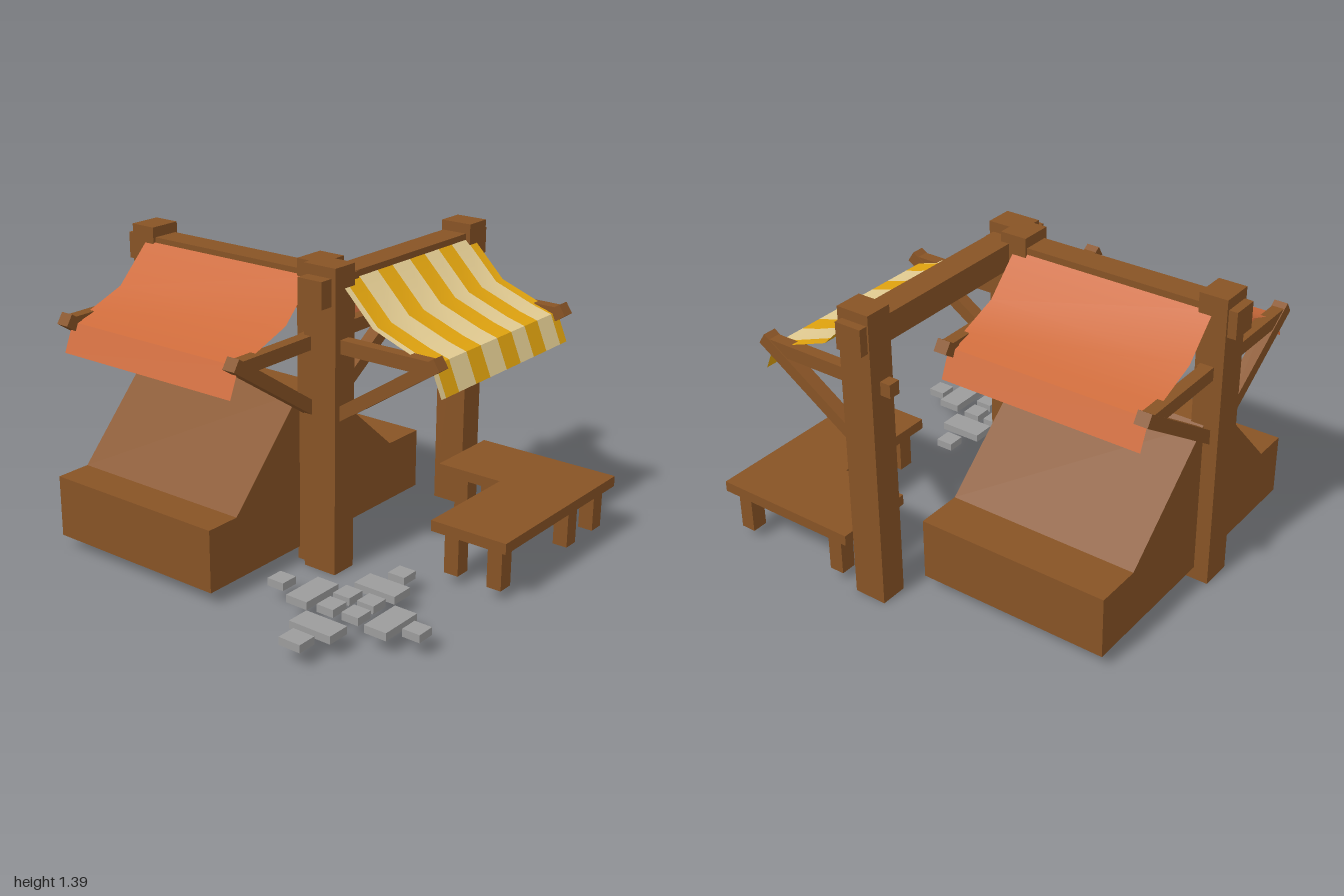
import * as THREE from 'three';

const mat = (name, color) => {
  const m = new THREE.MeshStandardMaterial({ color, side: THREE.DoubleSide });
  m.name = name;
  return m;
};

// Removes the faces lying on the lowest level, leaving the solid open below
function openBottom(geo) {
  const g = geo.index ? geo.toNonIndexed() : geo;
  g.computeBoundingBox();
  const floor = g.boundingBox.min.y + 1e-4;
  const p = g.attributes.position;
  const kept = [];
  for (let i = 0; i < p.count; i += 3) {
    const flat = [0, 1, 2].every((k) => p.getY(i + k) < floor);
    if (!flat) kept.push(i, i + 1, i + 2);
  }
  const out = new THREE.BufferGeometry();
  out.setAttribute('position', new THREE.Float32BufferAttribute(
    kept.flatMap((i) => [p.getX(i), p.getY(i), p.getZ(i)]), 3));
  out.computeVertexNormals();
  return out;
}

// Cloth strip between two z values, following a profile of [x, y] points
function sheet(profile, z0, z1) {
  const g = new THREE.PlaneGeometry(1, 1, 1, profile.length - 1);
  profile.forEach(([x, y], i) => {
    g.attributes.position.setXYZ(i * 2, x, y, z1);
    g.attributes.position.setXYZ(i * 2 + 1, x, y, z0);
  });
  g.computeVertexNormals();
  return g;
}

export function createModel() {
  const wood = mat('wood', 0x875325);
  const red = mat('red cloth', 0xcd6b3b);
  const gold = mat('gold cloth', 0xe0a30f);
  const cream = mat('cream cloth', 0xe3cc92);
  const stone = mat('stone', 0x9c9c9c);

  const model = new THREE.Group();
  model.name = 'marketStall';

  const add = (parent, name, geo, material) => {
    const mesh = new THREE.Mesh(geo, material);
    mesh.name = name;
    parent.add(mesh);
    return mesh;
  };
  // Box from its limits on each axis
  const box = (parent, name, material, [x0, x1], [y0, y1], [z0, z1], open = false) => {
    const g = new THREE.BoxGeometry(x1 - x0, y1 - y0, z1 - z0);
    g.translate((x0 + x1) / 2, (y0 + y1) / 2, (z0 + z1) / 2);
    return add(parent, name, open ? openBottom(g) : g, material);
  };

  // Posts
  const posts = [
    ['leftEndPost', [-0.96, -0.83], [0.025, 0.18]],
    ['innerCornerPost', [0.02, 0.15], [0.025, 0.18]],
    ['outerCornerPost', [0.087, 0.257], [0.086, 0.217]],
    ['backPost', [0.1, 0.257], [-0.905, -0.775]],
  ];
  for (const [name, x, z] of posts) box(model, name, wood, x, [0, 1.395], z, true);

  // Top beams, poking through the posts
  box(model, 'longBeam', wood, [-1, 0.24], [1.225, 1.347], [0.037, 0.165]);
  box(model, 'sideBeam', wood, [0.108, 0.235], [1.228, 1.349], [-0.945, 0.283]);

  // Sloping display block, open below
  const profile = new THREE.Shape([
    [0.77, 0.06], [0.77, 0.35], [0.6, 0.35], [0.18, 0.797],
    [0.03, 0.797], [-0.49, 0.35], [-0.71, 0.35], [-0.71, 0.06],
  ].map(([z, y]) => new THREE.Vector2(z, y)));
  const block = new THREE.ExtrudeGeometry(profile, { depth: 0.92, bevelEnabled: false });
  block.rotateY(-Math.PI / 2); // profile x becomes z, depth runs towards -x
  block.translate(0.03, 0, 0);
  add(model, 'displayBlock', openBottom(block), wood);

  // Awning: two bracket arms with struts and a sagging cloth with a hanging edge
  const sag = [[0.055, 1.325], [0.23, 1.15], [0.435, 1.075], [0.525, 1.05]];
  const hang = [[0.525, 1.05], [0.58, 0.92]];
  const half = 0.49;
  function awning(name, edges, cloths) {
    const g = new THREE.Group();
    g.name = name;
    for (const s of [-1, 1]) {
      const z = s * half;
      box(g, 'arm', wood, [-0.125, 0.53], [1.018, 1.08], [z - 0.028, z + 0.028]);
      const a = new THREE.Vector2(0, 0.697);
      const b = new THREE.Vector2(0.572, 1.073);
      const strut = add(g, 'strut', new THREE.BoxGeometry(a.distanceTo(b), 0.058, 0.064), wood);
      strut.position.set((a.x + b.x) / 2, (a.y + b.y) / 2, z);
      strut.rotation.z = Math.atan2(b.y - a.y, b.x - a.x);
    }
    for (let i = 0; i + 1 < edges.length; i++) {
      const m = cloths[i % cloths.length];
      add(g, 'cloth', sheet(sag, edges[i], edges[i + 1]), m);
      add(g, 'clothEdge', sheet(hang, edges[i], edges[i + 1]), m);
    }
    model.add(g);
    return g;
  }
  const front = awning('frontAwning', [-half, half], [red]);
  front.position.set(-0.392, 0, 0.118);
  front.rotation.y = -Math.PI / 2;
  const back = awning('backAwning', [-half, half], [red]);
  back.position.set(-0.4, 0, 0.1);
  back.rotation.y = Math.PI / 2;

  const stripes = [-0.835, -0.78, -0.66, -0.555, -0.447, -0.335, -0.207, -0.1, 0.028, 0.122, 0.155];
  const side = awning('sideAwning', stripes.map((z) => z + 0.335), [gold, cream]);
  side.position.set(0.175, 0, -0.335);

  // L-shaped table
  const table = new THREE.Group();
  table.name = 'cornerTable';
  model.add(table);
  const top = new THREE.Shape([
    [0.28, 0.93], [0.28, 0.545], [0.615, 0.545], [0.615, 0], [0.995, 0], [0.995, 0.93],
  ].map(([x, z]) => new THREE.Vector2(x, z)));
  const topGeo = new THREE.ExtrudeGeometry(top, { depth: 0.05, bevelEnabled: false });
  topGeo.rotateX(-Math.PI / 2); // shape y becomes -z
  topGeo.translate(0, 0.243, 0);
  add(table, 'tableTop', topGeo, wood);
  const legs = [[0.38, -0.625], [0.38, -0.855], [0.92, -0.625], [0.92, -0.855], [0.92, -0.075], [0.7, -0.075]];
  for (const [x, z] of legs) {
    box(table, 'tableLeg', wood, [x - 0.036, x + 0.036], [0.045, 0.245], [z - 0.038, z + 0.038], true);
  }

  // Paving stones: x, z, width, depth
  const paving = new THREE.Group();
  paving.name = 'paving';
  model.add(paving);
  const stones = [
    [0.223, 0.535, 0.085, 0.085], [0.395, 0.54, 0.11, 0.21],
    [0.598, 0.325, 0.21, 0.11], [0.523, 0.463, 0.085, 0.09],
    [0.643, 0.46, 0.085, 0.085], [0.533, 0.585, 0.085, 0.09],
    [0.655, 0.578, 0.085, 0.085], [0.803, 0.543, 0.11, 0.21],
    [0.928, 0.535, 0.085, 0.085], [0.598, 0.753, 0.21, 0.11],
    [0.6, 0.89, 0.108, 0.09], [0.59, 0.173, 0.085, 0.085],
  ];
  for (const [x, z, w, d] of stones) {
    box(paving, 'pavingStone', stone, [x - w / 2, x + w / 2], [0.07, 0.106], [z - d / 2, z + d / 2], true);
  }

  return model;
}
